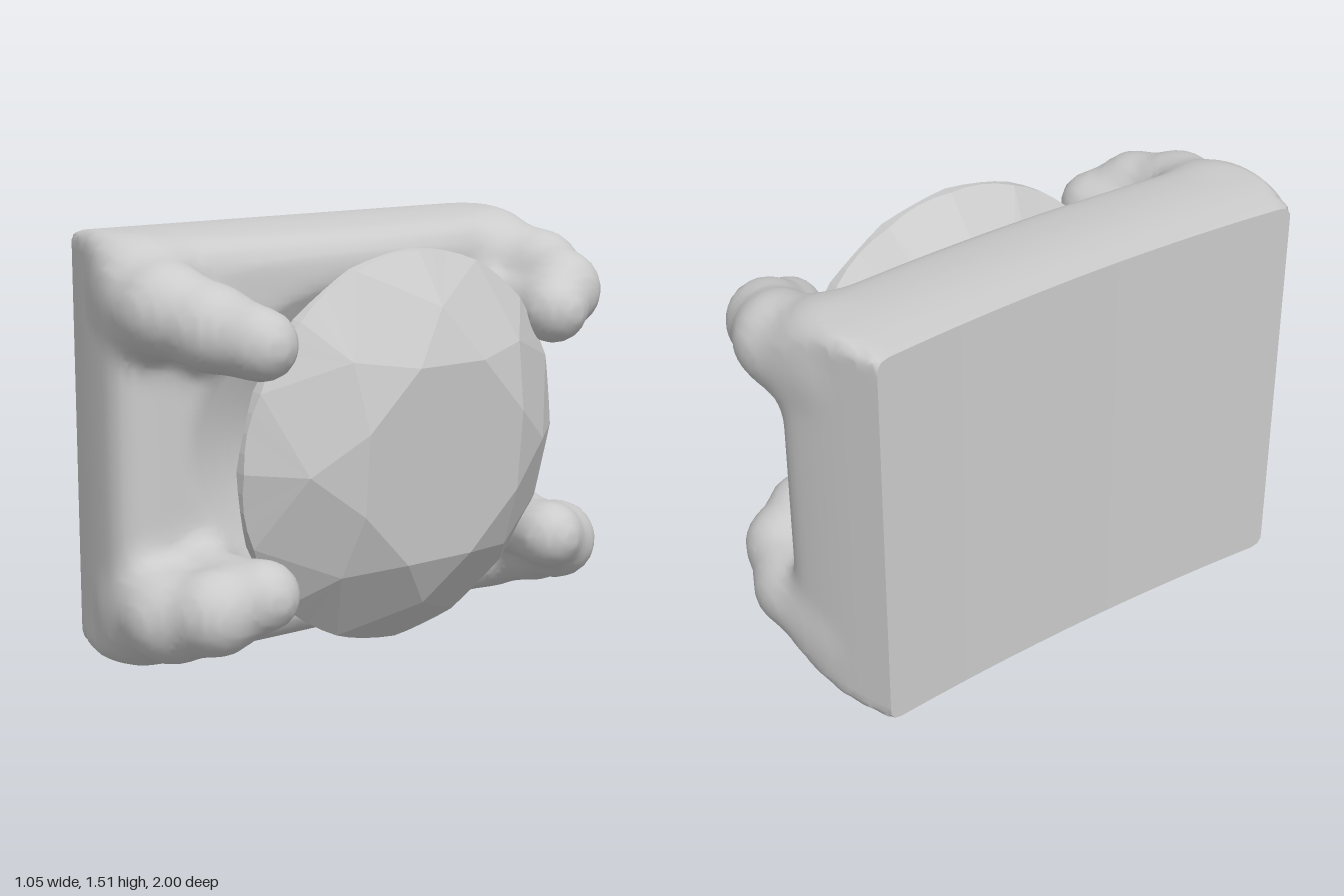
import * as THREE from 'three';
import { toCreasedNormals } from 'three/addons/utils/BufferGeometryUtils.js';

const CENTRE_Y = 0.752;
const STEP = 0.03;
const clamp01 = (t) => Math.min(1, Math.max(0, t));
const material = () => new THREE.MeshStandardMaterial({ color: 0xcccccc });

// Blended union and intersection of two distances
const blend = (a, b, k) => {
  const h = Math.max(k - Math.abs(a - b), 0) / k;
  return Math.min(a, b) - h * h * k * 0.25;
};
const blendCut = (a, b, k) => -blend(-a, -b, k);

// One claw as tapered rods: [x, height from centre, z, radius]
const CLAW = [
  [-0.15, 0.56, 0.8, 0.11],
  [0.06, 0.52, 0.84, 0.152],
  [0.24, 0.475, 0.785, 0.138],
  [0.33, 0.42, 0.66, 0.112],
  [0.08, 0.42, 0.68, 0.105],
];

function rod(x, y, z, a, b) {
  const d = [b[0] - a[0], b[1] - a[1], b[2] - a[2]];
  const p = [x - a[0], y - a[1], z - a[2]];
  const t = clamp01((p[0] * d[0] + p[1] * d[1] + p[2] * d[2]) / (d[0] ** 2 + d[1] ** 2 + d[2] ** 2));
  return Math.hypot(p[0] - t * d[0], p[1] - t * d[1], p[2] - t * d[2]) - (a[3] + t * (b[3] - a[3]));
}

// Hollow curve of the back face
const backX = (z) => -0.49 - 0.04 * (z / 0.84) ** 2;

// Distance to the setting: a flared block with a dished front, joined to four claws
function settingDistance(x, y, z) {
  const Y = Math.abs(y - CENTRE_Y), Z = Math.abs(z);
  const t = clamp01((x + 0.53) / 0.53);
  const halfZ = 0.84 + 0.12 * Math.sin(t * Math.PI / 2);
  const halfY = 0.735 + 0.03 * Math.sin(t * Math.PI) - 0.025 * t;
  const round = 0.02 + 0.2 * t * t;
  const u = Y - halfY + round, v = Z - halfZ + round;
  const wall = Math.hypot(Math.max(u, 0), Math.max(v, 0)) + Math.min(Math.max(u, v), 0) - round;

  const rim = 0.03 - 0.08 * Math.min(1, (Z / 0.95) ** 2);
  const dish = 0.4 * Math.min(0, Math.hypot(Y / 0.74, Z / 0.95) - 0.75);
  const block = blendCut(wall, x - rim - dish, 0.12);

  let claw = rod(x, Y, Z, CLAW[0], CLAW[1]);
  for (let i = 1; i < CLAW.length - 1; i++) {
    claw = blend(claw, rod(x, Y, Z, CLAW[i], CLAW[i + 1]), 0.04);
  }
  return blend(block, claw, 0.13);
}

// Skin the distance rule with quads on a regular grid bent to the back face
function settingGeometry() {
  const N = [37, 55, 73];
  const id = (p) => (p[0] * N[1] + p[1]) * N[2] + p[2];
  const place = (p) => {
    const z = (p[2] - (N[2] - 1) / 2) * STEP;
    return [backX(z) + (p[0] - 1) * STEP, CENTRE_Y + (p[1] - (N[1] - 1) / 2) * STEP, z];
  };
  const eachNode = (trim, visit) => {
    for (let i = 0; i < N[0] - trim; i++)
      for (let j = 0; j < N[1] - trim; j++)
        for (let k = 0; k < N[2] - trim; k++) visit([i, j, k]);
  };

  // Layer 0 lies outside, so the block is closed flat at layer 1
  const field = new Float32Array(N[0] * N[1] * N[2]);
  eachNode(0, (p) => { field[id(p)] = p[0] === 0 ? 1 : settingDistance(...place(p)); });

  // One vertex per crossed cell, at the mean of its edge crossings
  const positions = [], vertexOf = new Map();
  eachNode(1, (cell) => {
    const sum = [0, 0, 0];
    let n = 0, crossed = false;
    for (let a = 0; a < 3; a++) {
      for (let m = 0; m < 4; m++) {
        const p = [...cell];
        p[(a + 1) % 3] += m & 1;
        p[(a + 2) % 3] += m >> 1;
        const q = [...p];
        q[a]++;
        const f = field[id(p)], g = field[id(q)];
        if ((f < 0) === (g < 0)) continue;
        crossed = true;
        if (cell[0] === 0 && a === 0) continue;
        p[a] += f / (f - g);
        for (let c = 0; c < 3; c++) sum[c] += p[c];
        n++;
      }
    }
    if (!crossed) return;
    const v = cell.map((c, i) => (n ? sum[i] / n : c + 0.5));
    if (cell[0] === 0) v[0] = 1;
    vertexOf.set(id(cell), positions.length / 3);
    positions.push(...place(v));
  });

  // One quad around every crossed grid edge
  const index = [];
  eachNode(1, (p) => {
    for (let a = 0; a < 3; a++) {
      const b = (a + 1) % 3, c = (a + 2) % 3;
      if (p[b] === 0 || p[c] === 0) continue;
      const q = [...p];
      q[a]++;
      const inside = field[id(p)] < 0;
      if (inside === field[id(q)] < 0) continue;
      const quad = [[-1, -1], [0, -1], [0, 0], [-1, 0]].map(([db, dc]) => {
        const cell = [...p];
        cell[b] += db;
        cell[c] += dc;
        return vertexOf.get(id(cell));
      });
      if (!inside) quad.reverse();
      index.push(quad[0], quad[1], quad[2], quad[0], quad[2], quad[3]);
    }
  });

  const geometry = new THREE.BufferGeometry();
  geometry.setAttribute('position', new THREE.Float32BufferAttribute(positions, 3));
  geometry.setIndex(index);
  return toCreasedNormals(geometry, 0.9);
}

// Round brilliant cut stone, its table facing +x
function gemGeometry() {
  const positions = [];
  const point = (r, degrees, x) => {
    const a = THREE.MathUtils.degToRad(degrees);
    return new THREE.Vector3(x, r * Math.cos(a), r * Math.sin(a));
  };
  const facet = (a, b, c) => {
    const normal = b.clone().sub(a).cross(c.clone().sub(a));
    const outward = normal.dot(a.clone().add(b).add(c)) > 0;
    for (const p of outward ? [a, b, c] : [a, c, b]) positions.push(p.x, p.y, p.z);
  };
  const tableCentre = point(0, 0, 0.235), culet = point(0, 0, -0.52);
  const PARTS = 4;

  for (let k = 0; k < 8; k++) {
    const mid = k * 45;
    const star = point(0.53, mid, 0.16), lower = point(0.2, mid, -0.388);
    const corner = (side) => point(0.375, mid + 22.5 * side, 0.235);
    facet(tableCentre, corner(-1), corner(1));
    facet(star, corner(-1), corner(1));

    for (const side of [-1, 1]) {
      // Scalloped girdle between the crown and the pavilion
      const girdle = (i, sign) => point(0.7, mid + (22.5 * side * i) / PARTS,
        sign * (0.022 - 0.012 * Math.sin((Math.PI * i) / PARTS)));
      facet(corner(side), star, girdle(PARTS, 1));
      facet(culet, lower, girdle(PARTS, -1));
      for (let i = 0; i < PARTS; i++) {
        facet(star, girdle(i, 1), girdle(i + 1, 1));
        facet(lower, girdle(i, -1), girdle(i + 1, -1));
        facet(girdle(i, 1), girdle(i + 1, 1), girdle(i, -1));
        facet(girdle(i + 1, 1), girdle(i + 1, -1), girdle(i, -1));
      }
    }
  }

  const geometry = new THREE.BufferGeometry();
  geometry.setAttribute('position', new THREE.Float32BufferAttribute(positions, 3));
  geometry.computeVertexNormals();
  return geometry;
}

export function createModel() {
  const model = new THREE.Group();
  model.name = 'gemInClawSetting';

  const setting = new THREE.Mesh(settingGeometry(), material());
  setting.name = 'clawSetting';

  const gem = new THREE.Mesh(gemGeometry(), material());
  gem.material.flatShading = true;
  gem.name = 'gem';
  gem.position.set(0.26, 0.74, 0);
  gem.rotation.z = -0.087;

  model.add(setting, gem);
  return model;
}
